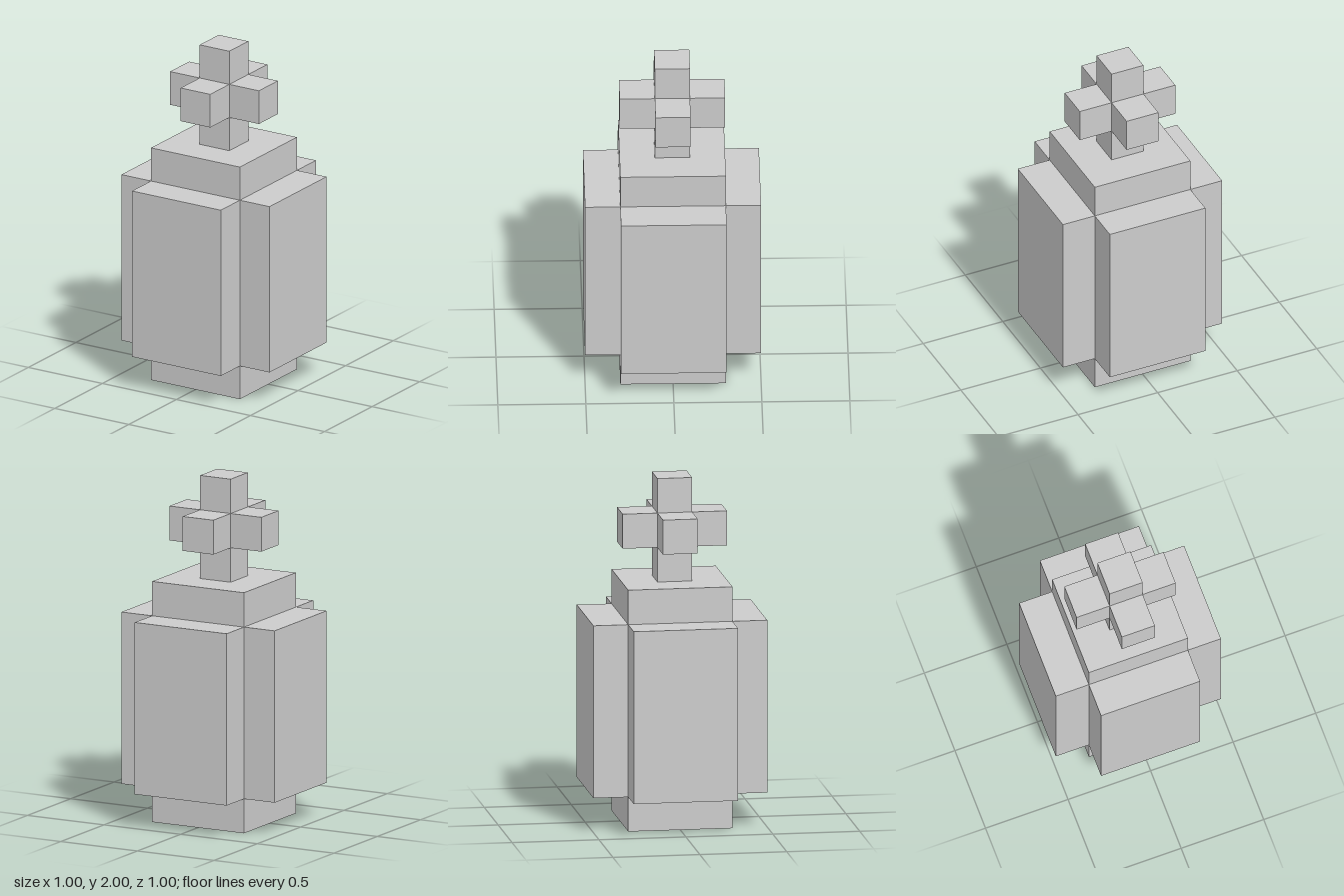
import * as THREE from 'three';

const material = new THREE.MeshStandardMaterial({ color: 0xcccccc, flatShading: true });

// Box standing on height y
function block(name, w, h, d, x, y, z) {
  const mesh = new THREE.Mesh(new THREE.BoxGeometry(w, h, d), material);
  mesh.name = name;
  mesh.position.set(x, y + h / 2, z);
  return mesh;
}

// Four copies of a block pushed out from the centre, one per side
function ring(name, w, h, depth, y, inner) {
  const group = new THREE.Group();
  group.name = name + 's';
  ['front', 'left', 'back', 'right'].forEach((side, i) => {
    const pivot = new THREE.Group();
    pivot.name = side + name[0].toUpperCase() + name.slice(1);
    pivot.rotation.y = i * Math.PI / 2;
    pivot.add(block(name, w, h, depth, 0, y, inner + depth / 2));
    group.add(pivot);
  });
  return group;
}

export function createModel() {
  const model = new THREE.Group();
  model.name = 'bottle';

  // Body: square core with a raised panel on each side
  const body = new THREE.Group();
  body.name = 'body';
  body.add(block('core', 0.6, 1.4, 0.6, 0, 0, 0));
  body.add(ring('panel', 0.6, 1.0, 0.2, 0.2, 0.3));

  // Stopper: slim post with four arms forming a cross
  const stopper = new THREE.Group();
  stopper.name = 'stopper';
  stopper.add(block('post', 0.2, 0.6, 0.2, 0, 1.4, 0));
  stopper.add(ring('arm', 0.2, 0.2, 0.2, 1.6, 0.1));

  model.add(body, stopper);
  return model;
}
